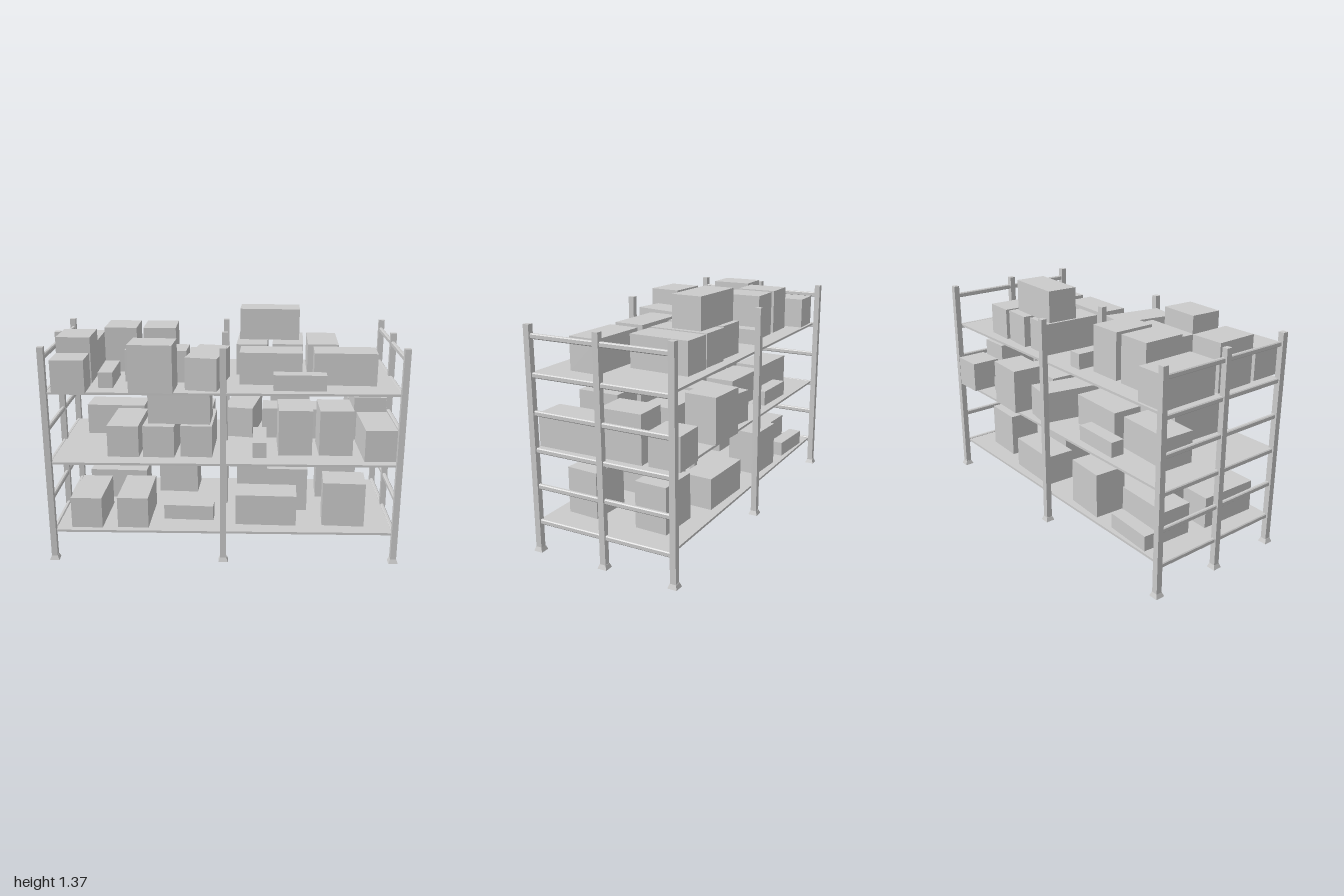
import * as THREE from 'three';

const mat = new THREE.MeshStandardMaterial({ color: 0xcccccc, flatShading: true });

// Carton sizes: width, height, depth
const SIZES = {
  long: [0.35, 0.182, 0.178],
  tall: [0.19, 0.263, 0.242],
  small: [0.29, 0.088, 0.08],
  cube: [0.182, 0.182, 0.178],
};
const Q = Math.PI / 2;

// Cartons: kind, x, z, turn, optional lift
const packed = [
  ['long', -0.85, -0.21, Q + 0.015],
  ['tall', -0.615, -0.17, 0],
  ['tall', -0.385, -0.17, 0],
  ['small', -0.185, -0.19, Q - 0.02],
  ['tall', -0.84, 0.112, 0.01],
  ['cube', -0.835, 0.355, 0.01],
  ['small', -0.65, 0.185, Q],
  ['long', -0.382, 0.105, -0.045],
  ['tall', -0.386, 0.338, Q - 0.06],
  ['long', -0.09, 0.205, Q - 0.19],
  ['long', 0.265, 0.155, -0.045],
  ['long', 0.68, 0.16, -0.045],
  ['small', 0.418, 0.33, -0.03],
  ['long', 0.165, -0.155, Q - 0.05],
  ['long', 0.375, -0.165, Q - 0.06],
  ['long', 0.578, -0.163, Q - 0.045],
  ['long', 0.267, -0.205, -0.05, 0.183],
];
const loose = [
  ['long', -0.78, 0.205, Q - 0.03],
  ['long', -0.515, 0.2, Q - 0.03],
  ['small', -0.205, 0.22, -0.06],
  ['long', 0.247, 0.235, -0.04],
  ['tall', 0.695, 0.232, Q - 0.06],
  ['tall', 0.378, 0.01, Q - 0.04],
  ['tall', 0.69, -0.19, Q - 0.04],
  ['long', 0.25, -0.26, -0.04],
  ['tall', -0.293, -0.262, Q - 0.06],
  ['long', -0.66, -0.155, -0.04],
  ['small', -0.69, -0.335, -0.06],
];

function add(parent, name, geo, x, y, z) {
  const mesh = new THREE.Mesh(geo, mat);
  mesh.name = name;
  mesh.position.set(x, y, z);
  parent.add(mesh);
  return mesh;
}

function cartons(name, list, y) {
  const group = new THREE.Group();
  group.name = name;
  group.position.y = y;
  for (const [kind, x, z, turn, lift = 0] of list) {
    const [w, h, d] = SIZES[kind];
    add(group, kind + 'Carton', new THREE.BoxGeometry(w, h, d), x, lift + h / 2, z).rotation.y = turn;
  }
  return group;
}

// Rail with chamfered edges, running along z
function railGeometry(w, h, c, length) {
  const a = w / 2, b = h / 2;
  const pts = [[a, c - b], [a, b - c], [a - c, b], [c - a, b], [-a, b - c], [-a, c - b], [c - a, -b], [a - c, -b]];
  const shape = new THREE.Shape(pts.map(([x, y]) => new THREE.Vector2(x, y)));
  return new THREE.ExtrudeGeometry(shape, { depth: length, bevelEnabled: false }).translate(0, 0, -length / 2);
}

export function createModel() {
  const model = new THREE.Group();
  model.name = 'storageRack';

  // Nine posts on flared feet
  const foot = new THREE.CylinderGeometry(0.036 / Math.SQRT2, 0.054 / Math.SQRT2, 0.024, 4).rotateY(Math.PI / 4);
  const post = new THREE.BoxGeometry(0.034, 1.226, 0.034);
  for (const x of [-0.973, 0, 0.973]) {
    for (const z of [-0.418, 0, 0.418]) {
      add(model, 'post', post, x, 0.637, z);
      add(model, 'foot', foot, x, 0.012, z);
    }
  }

  // Side rails at both ends
  const rail = railGeometry(0.022, 0.028, 0.005, 0.83);
  for (const x of [-0.97, 0.97]) {
    for (let i = 0; i < 6; i++) add(model, 'sideRail', rail, x, 0.173 + i * 0.2032, 0);
  }

  // Shelves
  const shelf = new THREE.BoxGeometry(1.94, 0.013, 0.813);
  for (const top of [0.18, 0.592, 0.998]) add(model, 'shelf', shelf, 0, top - 0.0065, 0.01);

  // The middle load is the top load turned half round
  const turned = packed.map(([kind, x, z, ...rest]) => [kind, 0.02 - x, 0.006 - z, ...rest]);
  model.add(cartons('bottomCartons', loose, 0.18));
  model.add(cartons('middleCartons', turned, 0.602));
  model.add(cartons('topCartons', packed, 1.0));
  return model;
}
